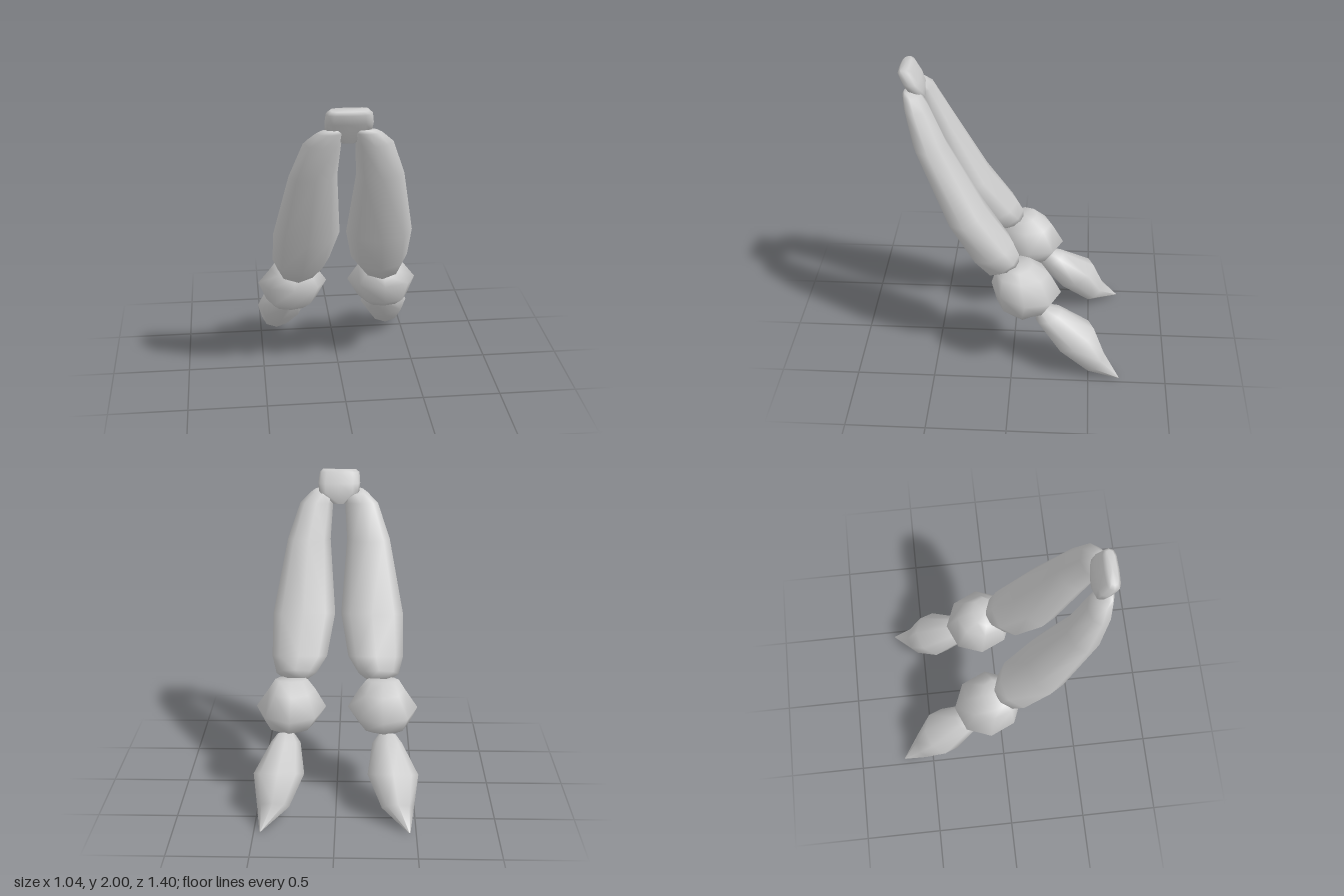
import * as THREE from 'three';

const material = new THREE.MeshStandardMaterial({ color: 0xcccccc });

// Skin over tilted rings, listed top to bottom: [xMin, xMax, zFront, yFront, zBack, yBack].
// power < 1 makes the rings boxier; side = -1 builds the mirrored part.
function loft(name, rings, { sides = 8, side = 1, power = 1 } = {}) {
  const pos = [], index = [];
  const tri = (a, b, c) => (side > 0 ? index.push(a, b, c) : index.push(a, c, b));
  const bend = (v) => Math.sign(v) * Math.pow(Math.abs(v), power);

  for (const [x0, x1, zf, yf, zb, yb] of rings) {
    for (let j = 0; j < sides; j++) {
      const a = (j / sides) * Math.PI * 2;
      const c = bend(Math.cos(a)), s = bend(Math.sin(a));
      pos.push(
        side * ((x0 + x1) / 2 + (c * (x1 - x0)) / 2),
        (yf + yb) / 2 + (s * (yf - yb)) / 2,
        (zf + zb) / 2 + (s * (zf - zb)) / 2,
      );
    }
  }
  for (let i = 0; i < rings.length - 1; i++) {
    for (let j = 0; j < sides; j++) {
      const k = (j + 1) % sides, u = i * sides, d = u + sides;
      tri(u + j, u + k, d + j);
      tri(u + k, d + k, d + j);
    }
  }
  // end caps
  for (const i of [0, rings.length - 1]) {
    const [x0, x1, zf, yf, zb, yb] = rings[i];
    const centre = pos.length / 3, base = i * sides;
    pos.push((side * (x0 + x1)) / 2, (yf + yb) / 2, (zf + zb) / 2);
    for (let j = 0; j < sides; j++) {
      const k = (j + 1) % sides;
      if (i === 0) tri(centre, base + k, base + j);
      else tri(centre, base + j, base + k);
    }
  }
  const geometry = new THREE.BufferGeometry();
  geometry.setAttribute('position', new THREE.Float32BufferAttribute(pos, 3));
  geometry.setIndex(index);
  geometry.computeVertexNormals();
  const mesh = new THREE.Mesh(geometry, material);
  mesh.name = name;
  return mesh;
}

const knotRings = [
  [-0.11, 0.11, 0.685, 1.99, 0.63, 2.0],
  [-0.135, 0.13, 0.70, 1.97, 0.61, 1.98],
  [-0.14, 0.14, 0.675, 1.91, 0.57, 1.91],
  [-0.135, 0.135, 0.645, 1.86, 0.55, 1.85],
  [-0.04, 0.04, 0.61, 1.78, 0.55, 1.78],
];

const upperRings = [
  [0.05, 0.16, 0.66, 1.87, 0.60, 1.865],
  [0.03, 0.19, 0.67, 1.85, 0.56, 1.845],
  [0.04, 0.26, 0.66, 1.77, 0.51, 1.79],
  [0.055, 0.34, 0.61, 1.55, 0.40, 1.56],
  [0.02, 0.43, 0.42, 1.07, 0.17, 1.13],
  [0.07, 0.43, 0.27, 0.81, 0.0, 0.90],
  [0.14, 0.40, 0.17, 0.70, -0.04, 0.82],
  [0.20, 0.34, 0.08, 0.69, -0.04, 0.77],
];

const beadRings = [
  [0.19, 0.40, 0.04, 0.75, -0.13, 0.77],
  [0.14, 0.44, 0.11, 0.70, -0.23, 0.70],
  [0.07, 0.52, 0.135, 0.62, -0.31, 0.56],
  [0.14, 0.47, 0.10, 0.49, -0.24, 0.46],
  [0.20, 0.42, 0.0, 0.42, -0.14, 0.42],
];

const tipRings = [
  [0.27, 0.38, -0.16, 0.42, -0.23, 0.465],
  [0.23, 0.42, -0.15, 0.36, -0.32, 0.44],
  [0.20, 0.52, -0.28, 0.20, -0.53, 0.32],
  [0.29, 0.49, -0.48, 0.04, -0.60, 0.15],
  [0.455, 0.465, -0.695, 0.005, -0.70, 0.01],
];

export function createModel() {
  const model = new THREE.Group();
  model.name = 'hangingTails';

  // small block joining both strands at the top
  model.add(loft('topKnot', knotRings, { sides: 12, power: 0.6 }));

  // mirrored strands: long lobe, round bead, pointed tip
  for (const side of [1, -1]) {
    const strand = new THREE.Group();
    strand.name = side > 0 ? 'leftStrand' : 'rightStrand';
    strand.add(
      loft('upperLobe', upperRings, { side }),
      loft('bead', beadRings, { side }),
      loft('pointedTip', tipRings, { side }),
    );
    model.add(strand);
  }
  return model;
}
